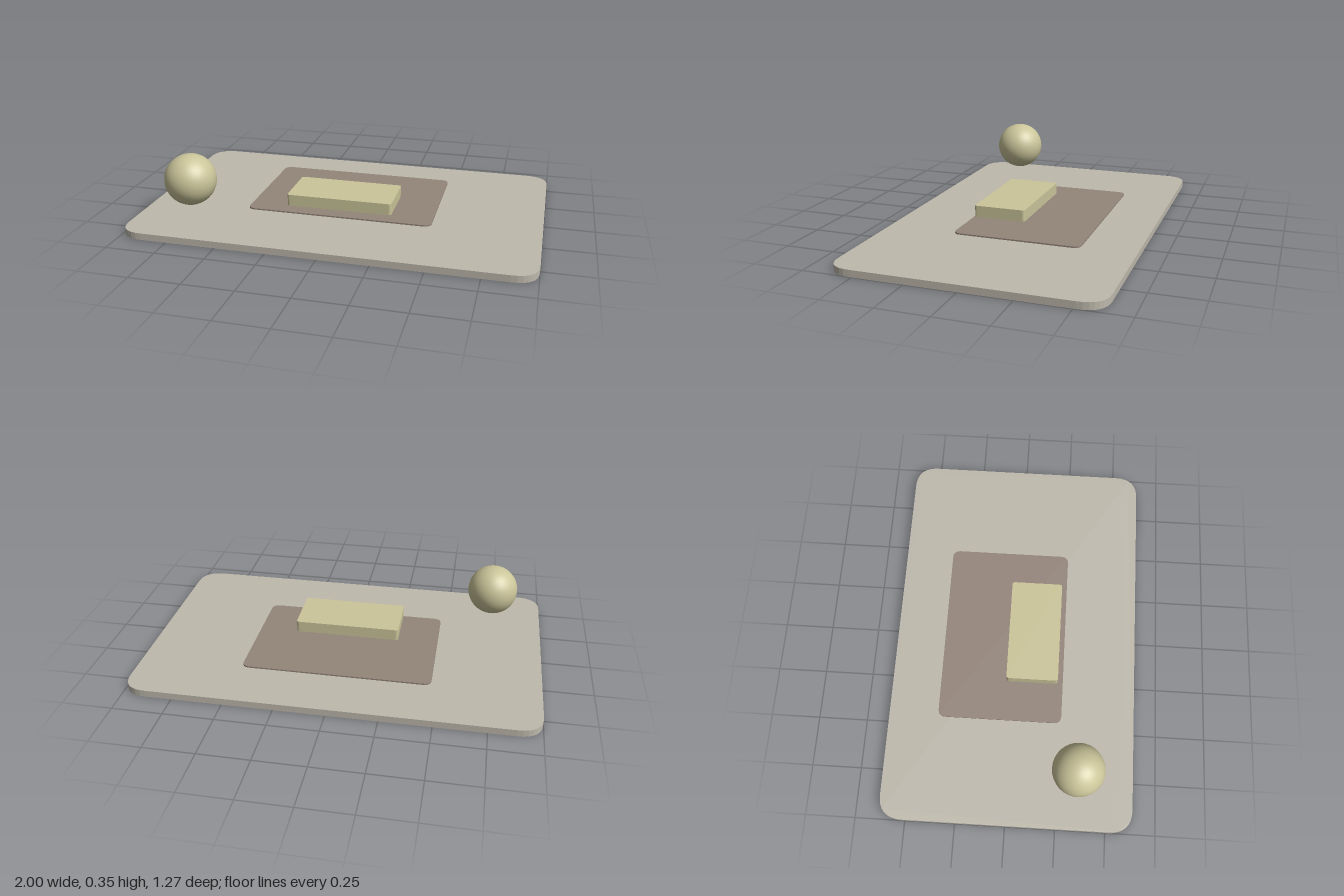
import * as THREE from 'three';

// Flat slab with rounded corners: width along x, depth along z, from y0 to y1
function roundedSlab(name, material, width, depth, radius, y0, y1, z, segments) {
  const w = width / 2, d = depth / 2, s = new THREE.Shape();
  s.moveTo(-w + radius, -d);
  s.lineTo(w - radius, -d);
  s.quadraticCurveTo(w, -d, w, -d + radius);
  s.lineTo(w, d - radius);
  s.quadraticCurveTo(w, d, w - radius, d);
  s.lineTo(-w + radius, d);
  s.quadraticCurveTo(-w, d, -w, d - radius);
  s.lineTo(-w, -d + radius);
  s.quadraticCurveTo(-w, -d, -w + radius, -d);
  const geometry = new THREE.ExtrudeGeometry(s, {
    depth: y1 - y0, bevelEnabled: false, curveSegments: segments,
  });
  geometry.rotateX(-Math.PI / 2);
  const mesh = new THREE.Mesh(geometry, material);
  mesh.position.set(0, y0, z);
  mesh.name = name;
  return mesh;
}

function makeMaterial(name, color) {
  const material = new THREE.MeshStandardMaterial({ color });
  material.name = name;
  return material;
}

export function createModel() {
  const group = new THREE.Group();
  group.name = 'layeredPlates';
  const stone = makeMaterial('warm grey', 0xbeb9ac);
  const brown = makeMaterial('muted brown', 0x94857a);
  const cream = makeMaterial('pale cream', 0xcbc59a);

  // Three stacked, floating plates
  group.add(
    roundedSlab('basePlate', stone, 2, 1.266, 0.12, 0, 0.034, 0, 8),
    roundedSlab('middlePanel', brown, 0.94, 0.635, 0.04, 0.052, 0.059, -0.06, 8),
    roundedSlab('raisedBlock', cream, 0.536, 0.266, 0.015, 0.081, 0.139, 0.096, 8),
  );

  // Ball hovering over the front corner
  const ball = new THREE.Mesh(new THREE.SphereGeometry(0.13, 32, 24), cream);
  ball.position.set(-0.733, 0.223, 0.346);
  ball.name = 'ball';
  group.add(ball);
  return group;
}
